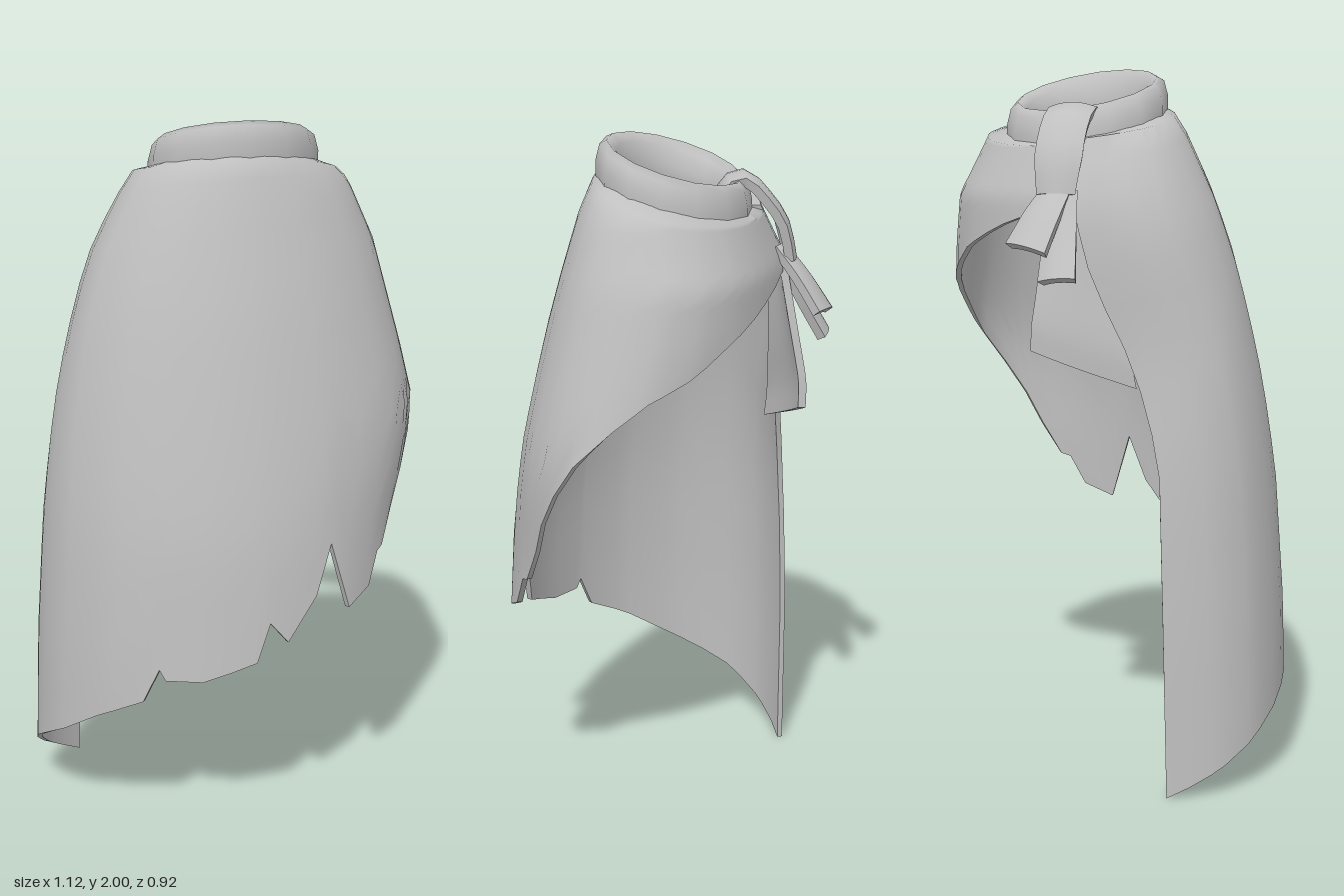
import * as THREE from 'three';
import { mergeVertices, toCreasedNormals } from 'three/addons/utils/BufferGeometryUtils.js';

const V = (x, y, z) => new THREE.Vector3(x, y, z);
const clothGrey = new THREE.MeshStandardMaterial({ color: 0xc0c0c0, side: THREE.DoubleSide });
clothGrey.name = 'clothGrey';

// Linear lookup in two ascending lists
function lookup(xs, ys, x) {
  if (x <= xs[0]) return ys[0];
  for (let i = 1; i < xs.length; i++) {
    if (x <= xs[i]) return ys[i - 1] + (ys[i] - ys[i - 1]) * (x - xs[i - 1]) / (xs[i] - xs[i - 1]);
  }
  return ys[ys.length - 1];
}

// Closed thin shell from a grid of points: face, back offset along the normals, and rim
function shell(name, rows, thickness) {
  const nv = rows.length, nu = rows[0].length;
  const base = new THREE.BufferGeometry().setFromPoints(rows.flat());
  const idx = [];
  for (let j = 0; j < nv - 1; j++) {
    for (let i = 0; i < nu - 1; i++) {
      const a = j * nu + i, b = a + 1, c = a + nu, d = c + 1;
      idx.push(a, c, b, b, c, d);
    }
  }
  base.setIndex(idx);
  base.computeVertexNormals();
  const pts = rows.flat(), n = base.attributes.normal, count = pts.length;
  const back = pts.map((p, i) => V(n.getX(i), n.getY(i), n.getZ(i)).multiplyScalar(-thickness).add(p));
  const all = idx.slice();
  for (let k = 0; k < idx.length; k += 3) all.push(idx[k] + count, idx[k + 2] + count, idx[k + 1] + count);
  const rim = (a, b) => all.push(a, b, a + count, b, b + count, a + count);
  for (let i = 0; i < nu - 1; i++) {
    rim(i, i + 1);
    rim((nv - 1) * nu + i + 1, (nv - 1) * nu + i);
  }
  for (let j = 0; j < nv - 1; j++) {
    rim((j + 1) * nu, j * nu);
    rim(j * nu + nu - 1, (j + 1) * nu + nu - 1);
  }
  const geo = new THREE.BufferGeometry().setFromPoints(pts.concat(back));
  geo.setIndex(all);
  const mesh = new THREE.Mesh(toCreasedNormals(geo, 0.9), clothGrey);
  mesh.name = name;
  return mesh;
}

// Cape outline at each height: reach to the sides, the front and the back
const H = [0, 0.5, 0.86, 1.05, 1.2, 1.35, 1.5, 1.65, 1.82, 1.93];
const REACH = {
  right: [-0.57, -0.552, -0.527, -0.505, -0.482, -0.45, -0.41, -0.355, -0.265, -0.18],
  left: [0.5, 0.5, 0.5, 0.545, 0.56, 0.525, 0.485, 0.445, 0.37, 0.25],
  front: [0.46, 0.456, 0.425, 0.39, 0.358, 0.325, 0.29, 0.248, 0.2, 0.16],
  back: [-0.37, -0.375, -0.365, -0.345, -0.325, -0.335, -0.342, -0.335, -0.27, -0.2],
};
// Torn hem: angle (0 back, 90 right, 180 front, 270 left) and height
const HEM = [[47, 0], [70, 0.09], [90, 0.17], [115, 0.28], [130, 0.36], [146, 0.43], [151, 0.53], [153, 0.5],
  [164, 0.5], [180, 0.55], [184.5, 0.66], [190.5, 0.6], [201, 0.72], [207, 0.86], [215, 0.66], [226, 0.7],
  [232, 0.79], [236, 0.8], [243, 0.9], [247, 1.0], [254, 1.1], [264, 1.2], [280, 1.3], [293, 1.37],
  [309, 1.42], [328, 1.5], [360, 1.6], [380, 1.66]];
const HEM_A = HEM.map((h) => h[0]), HEM_Y = HEM.map((h) => h[1]);
// Collar oval: centre and radii
const COLLAR = { x: 0.043, z: -0.048, rx: 0.242, rz: 0.212 };

function capePoint(angle, y) {
  // the open back edge swings towards the knot as it rises
  const edge = lookup([0, 0.95, 1.2, 1.45, 1.65, 1.9], [47, 47, 39, 26, 20, 20], y);
  const a = THREE.MathUtils.degToRad(angle + (edge - 47) * Math.max(0, 1 - (angle - 47) / 90));
  const s = -Math.sin(a), c = -Math.cos(a);
  const cx = lookup([0.9, 2], [0, 0.045], y), cz = lookup([0.9, 2], [s > 0 ? 0.04 : -0.02, -0.05], y);
  const x = lookup(H, s < 0 ? REACH.right : REACH.left, y);
  const z = lookup(H, c < 0 ? REACH.back : REACH.front, y);
  // the gathered upper back is squarer than an ellipse
  const power = c < 0 ? lookup([1.3, 1.65, 1.85], [1, 0.82, 1], y) : 1;
  return V(cx + Math.abs(s) ** power * (x - cx), y, cz + Math.abs(c) ** power * (z - cz));
}

// Top edge of the cape, drawn in under the collar
function tuckedPoint(p) {
  const dx = (p.x - COLLAR.x) / COLLAR.rx, dz = (p.z - COLLAR.z) / COLLAR.rz, k = 0.88 / Math.hypot(dx, dz);
  const z = COLLAR.z + dz * k * COLLAR.rz;
  return V(COLLAR.x + dx * k * COLLAR.rx, 1.87 + 0.32 * (z + 0.03), z);
}

function makeCape() {
  const angles = HEM_A.slice();
  for (let a = 55; a < 380; a += 9) if (!HEM_A.some((h) => Math.abs(h - a) < 4)) angles.push(a);
  angles.sort((p, q) => p - q);
  const rows = [], N = 16;
  for (let j = 0; j <= N; j++) {
    rows.push(angles.map((a) => {
      const top = 1.845 - 0.055 * Math.cos(THREE.MathUtils.degToRad(a));
      return capePoint(a, THREE.MathUtils.lerp(top, lookup(HEM_A, HEM_Y, a), Math.pow(j / N, 1.2)));
    }));
  }
  rows.unshift(rows[0].map(tuckedPoint));
  return shell('cape', rows, 0.016);
}

// Rolled collar: lathe stretched to an oval and tilted down at the back
function makeCollar() {
  const profile = [[0.97, -0.13], [1.0, -0.07], [1.0, -0.02], [0.95, 0.025], [0.86, 0.04],
    [0.75, 0.02], [0.67, -0.03], [0.68, -0.08], [0.76, -0.13]].map((p) => new THREE.Vector2(p[0], p[1]));
  let geo = new THREE.LatheGeometry(profile, 14);
  geo.deleteAttribute('uv');
  geo.deleteAttribute('normal');
  const p = geo.attributes.position;
  for (let i = 0; i < p.count; i++) {
    const x = COLLAR.x + p.getX(i) * COLLAR.rx, z = COLLAR.z + p.getZ(i) * COLLAR.rz;
    p.setXYZ(i, x, 1.91 + p.getY(i) + 0.32 * (z + 0.03), z);
  }
  geo = mergeVertices(geo, 1e-4);
  geo.computeVertexNormals();
  const mesh = new THREE.Mesh(geo, clothGrey);
  mesh.name = 'collar';
  return mesh;
}

// Cloth strip following a centre path, with a width and a side direction
function strip(name, path, widths, side, thickness, bulge) {
  const curve = new THREE.CatmullRomCurve3(path), rows = [];
  const dir = side.clone().normalize();
  const n = 10, m = 6;
  for (let j = 0; j <= n; j++) {
    const t = j / n, c = curve.getPoint(t), row = [];
    const w = lookup(widths.map((_, i) => i / (widths.length - 1)), widths, t);
    const out = dir.clone().cross(curve.getTangent(t)).normalize();
    for (let i = 0; i <= m; i++) {
      const u = i / m * 2 - 1;
      row.push(c.clone().addScaledVector(dir, u * w / 2).addScaledVector(out, bulge * (1 - u * u)));
    }
    rows.push(row);
  }
  return shell(name, rows, thickness);
}

export function createModel() {
  const group = new THREE.Group();
  group.name = 'tornCape';
  group.add(makeCape(), makeCollar());

  // Knot: band looped over the collar and its tails
  const knot = new THREE.Group();
  knot.name = 'knot';
  knot.add(
    strip('knotBand', [V(-0.035, 1.79, -0.185), V(-0.038, 1.85, -0.182), V(-0.045, 1.872, -0.212),
      V(-0.06, 1.825, -0.262), V(-0.08, 1.755, -0.305), V(-0.088, 1.66, -0.325)],
    [0.1, 0.11, 0.12, 0.12, 0.12, 0.09], V(0.92, 0, -0.38), 0.026, 0.012),
    strip('upperTail', [V(-0.085, 1.68, -0.3), V(-0.082, 1.6, -0.37), V(-0.078, 1.51, -0.435)],
      [0.06, 0.1, 0.125], V(1, 0.15, 0), 0.026, 0.012),
    strip('lowerTail', [V(-0.1, 1.66, -0.3), V(-0.13, 1.54, -0.355), V(-0.165, 1.43, -0.41)],
      [0.05, 0.08, 0.095], V(0.95, -0.1, -0.25), 0.026, 0.01),
    strip('broadTail', [V(-0.1, 1.66, -0.29), V(-0.13, 1.42, -0.305), V(-0.155, 1.27, -0.31), V(-0.16, 1.19, -0.305)],
      [0.08, 0.2, 0.28, 0.3], V(0.24, 0.11, -0.18), 0.022, 0.015),
  );
  group.add(knot);
  return group;
}
